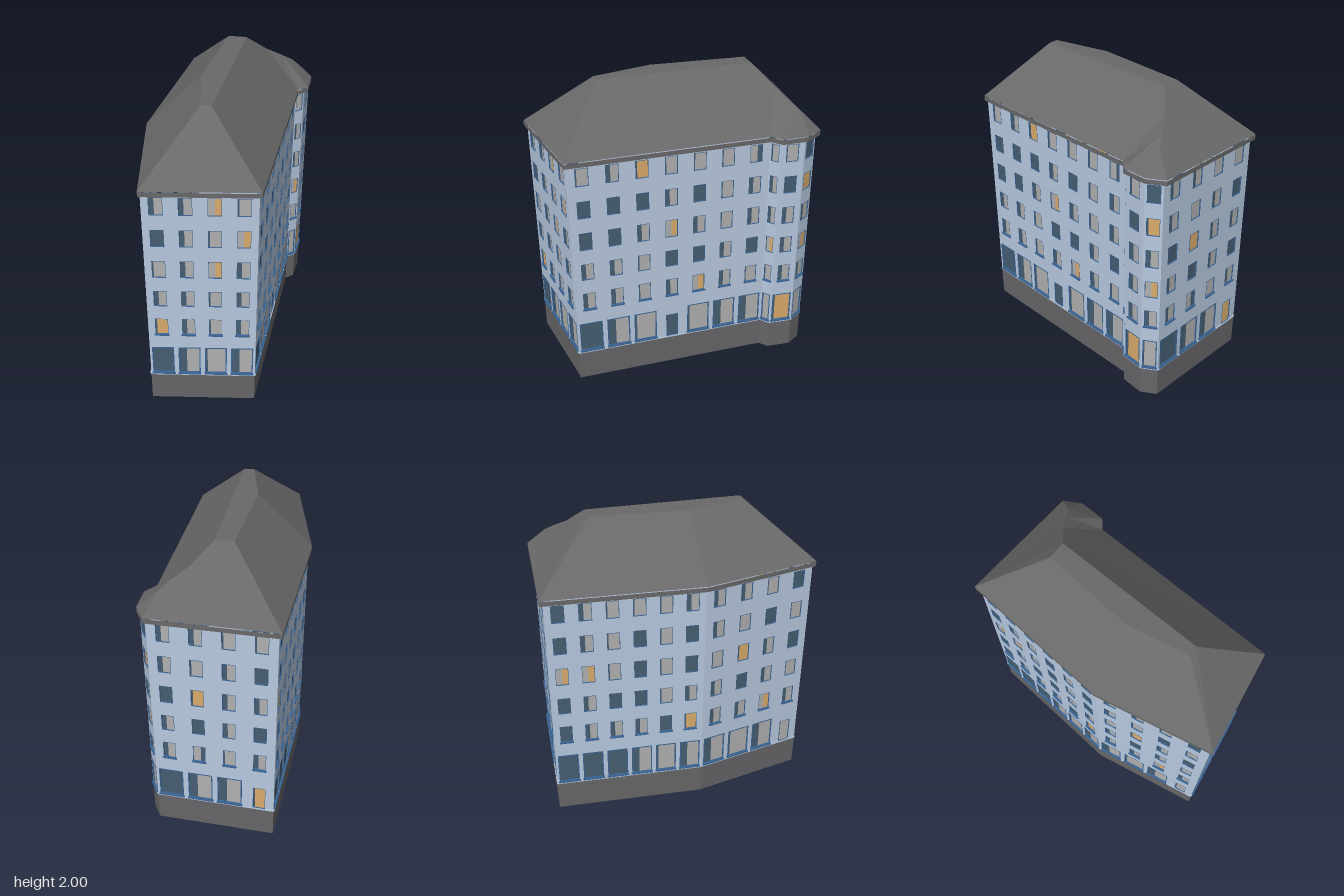
import * as THREE from 'three';
import { mergeGeometries } from 'three/addons/utils/BufferGeometryUtils.js';

const mat = (name, color) => {
  const m = new THREE.MeshStandardMaterial({ color, side: THREE.DoubleSide });
  m.name = name;
  return m;
};

export function createModel() {
  const M = {
    wall: mat('pale blue render', 0xb7c9df),
    roof: mat('slate grey', 0x696969),
    plinth: mat('plinth grey', 0x666668),
    frame: mat('frame blue', 0x3a6596),
    glass: mat('dark glass', 0x465e72),
    curtain: mat('grey curtain', 0xb0b0b0),
    amber: mat('amber curtain', 0xd9ab6b),
  };

  const model = new THREE.Group();
  model.name = 'cornerBuilding';
  const add = (parent, name, geo, material) => {
    const mesh = new THREE.Mesh(geo, material);
    mesh.name = name;
    parent.add(mesh);
  };

  // Footprint of the walls and of the eaves, as [x, z]
  const foot = [[-0.83, 0.51], [-0.255, 0.86], [0.62, -0.09], [0.69, -0.09],
    [0.805, -0.2], [0.825, -0.31], [0.26, -0.85], [-0.445, -0.15]];
  const eave = [[-0.85, 0.52], [-0.25, 0.88], [0.63, -0.075], [0.71, -0.075],
    [0.825, -0.2], [0.85, -0.325], [0.26, -0.88], [-0.465, -0.16]];

  // Flat-shaded surface from convex polygons
  const faces = (polys) => {
    const v = [];
    for (const p of polys)
      for (let i = 1; i < p.length - 1; i++) v.push(...p[0], ...p[i], ...p[i + 1]);
    const g = new THREE.BufferGeometry();
    g.setAttribute('position', new THREE.Float32BufferAttribute(v, 3));
    g.computeVertexNormals();
    return g;
  };
  // Quads joining two outlines at two heights
  const band = (lo, y0, hi, y1) => faces(lo.map((p, i) => {
    const j = (i + 1) % lo.length;
    return [[p[0], y0, p[1]], [lo[j][0], y0, lo[j][1]], [hi[j][0], y1, hi[j][1]], [hi[i][0], y1, hi[i][1]]];
  }));

  add(model, 'plinth', band(foot, 0, foot, 0.215), M.plinth);
  add(model, 'cornice', mergeGeometries([
    band(eave, 1.61, eave, 1.64), band(foot, 1.61, eave, 1.61)]), M.roof);

  // Hipped roof with a flat top and a small turned bay at one corner
  const [A, B, C, D, E, F, G, H] = eave.map(([x, z]) => [x, 1.646, z]);
  const P1 = [-0.32, 2, 0.43], P2 = [-0.37, 2, 0.39], P3 = [-0.18, 2, 0.05];
  const P4 = [0.265, 2, -0.385], P5 = [0.355, 2, -0.31];
  const Q1 = [0.52, 1.88, -0.31], S = [0.63, 1.82, -0.29], Q2 = [0.72, 1.765, -0.285];
  add(model, 'roof', faces([
    [P1, P5, P4, P3, P2], [A, B, P1, P2], [B, C, Q1, P5, P1], [C, D, S, Q1],
    [D, E, Q2, S], [E, F, Q2], [G, P4, P5, Q1, S, Q2, F], [G, H, P3, P4], [H, A, P2, P3]]), M.roof);

  // Rectangle outline, for wall openings and frames
  const rect = (cls, x0, y0, x1, y1) => new cls([[x0, y0], [x1, y0], [x1, y1], [x0, y1]]
    .map((p) => new THREE.Vector2(...p)));
  const plate = (x0, y0, x1, y1, z) => new THREE.PlaneGeometry(x1 - x0, y1 - y0)
    .translate((x0 + x1) / 2, (y0 + y1) / 2, z).toNonIndexed();
  const box = (x0, y0, x1, y1, z0, z1) => new THREE.BoxGeometry(x1 - x0, y1 - y0, z1 - z0)
    .translate((x0 + x1) / 2, (y0 + y1) / 2, (z0 + z1) / 2).toNonIndexed();

  // Facades: door column, and one letter per window, rows from the ground up
  const facades = [
    { name: 'front', door: -1, rows: ['dhch', 'ahch', 'hhch', 'chmh', 'dhcm', 'hhmc'] },
    { name: 'longRight', door: 3, rows: ['dhcdchh', 'hhchmhc', 'hhcddhd', 'ddhmhch', 'dddhdch', 'chacccH'] },
    { name: 'bayFront', door: -1, rows: ['c', 'c', 'm', 'h', 'h', 'c'] },
    { name: 'bayCorner', door: -1, rows: ['a', 'h', 'h', 'h', 'd', 'c'] },
    { name: 'bayRight', door: -1, rows: ['c', 'h', 'm', 'h', 'a', 'd'] },
    { name: 'rightEnd', door: 3, rows: ['dhha', 'hHch', 'hdhd', 'dahh', 'hchd', 'hhcc'] },
    { name: 'longBack', door: -1, rows: ['dddhch', 'dhhhda', 'dhddch', 'mmcdcd', 'dhcdcd', 'dhccch'] },
    { name: 'leftBack', door: 3, rows: ['hchc', 'hhmh', 'hdhc', 'cahd', 'hcdc', 'hhcd'] },
  ];
  // Pane fillings: left material, right material, share of the left one
  const fill = {
    d: ['glass', 'glass', 0.5], c: ['glass', 'curtain', 0.12], h: ['glass', 'curtain', 0.38],
    H: ['curtain', 'glass', 0.62], a: ['glass', 'amber', 0.15], m: ['curtain', 'amber', 0.5],
  };
  const heights = [[0.23, 0.45], [0.565, 0.69], [0.795, 0.915], [1.02, 1.145], [1.25, 1.37], [1.475, 1.595]];
  const label = { frame: 'windowFrames', glass: 'windowGlass', curtain: 'curtains', amber: 'amberCurtains' };

  facades.forEach(({ name, door, rows }, f) => {
    const p = foot[f], q = foot[(f + 1) % foot.length];
    const dx = q[0] - p[0], dz = q[1] - p[1], len = Math.hypot(dx, dz);
    const facade = new THREE.Group();
    facade.name = name + 'Facade';
    facade.position.set(p[0], 0, p[1]);
    facade.rotation.y = -Math.atan2(dz, dx);
    model.add(facade);

    const wall = rect(THREE.Shape, 0, 0.215, len, 1.61);
    const parts = { frame: [], glass: [], curtain: [], amber: [] };
    const pitch = len / rows[0].length;

    rows.forEach((row, r) => [...row].forEach((letter, c) => {
      const isDoor = r === 0 && c === door;
      const shop = r === 0 && !isDoor;
      const w = shop ? pitch * 0.82 : Math.min(0.08, pitch * 0.72);
      const x0 = (c + 0.5) * pitch - w / 2, x1 = x0 + w;
      const [b, t] = isDoor ? [0.22, 0.4] : heights[r];
      wall.holes.push(rect(THREE.Path, x0, b, x1, t));

      // Frame lining the opening
      const k = shop ? 0.006 : 0.0018;
      const ring = rect(THREE.Shape, x0 - 0.001, b - 0.001, x1 + 0.001, t + 0.001);
      ring.holes.push(rect(THREE.Path, x0 + k, b + k, x1 - k, t - k));
      parts.frame.push(new THREE.ExtrudeGeometry(ring, { depth: 0.008, bevelEnabled: false })
        .translate(0, 0, -0.007));

      // Sill
      if (r < 2 && !isDoor) parts.frame.push(box(x0 - 0.006, b - 0.008, x1 + 0.006, b + 0.002, -0.002, 0.01));

      // Pane with its curtain
      const [left, right, share] = fill[letter];
      const split = x0 + w * share;
      parts[left].push(plate(x0, b, split, t, -0.006));
      parts[right].push(plate(split, b, x1, t, -0.006));
    }));

    add(facade, 'wall', new THREE.ShapeGeometry(wall), M.wall);
    add(facade, 'ledge', box(0, 0.212, len, 0.22, -0.004, 0.006), M.wall);
    for (const key in parts)
      if (parts[key].length) add(facade, label[key], mergeGeometries(parts[key]), M[key]);
  });

  return model;
}
